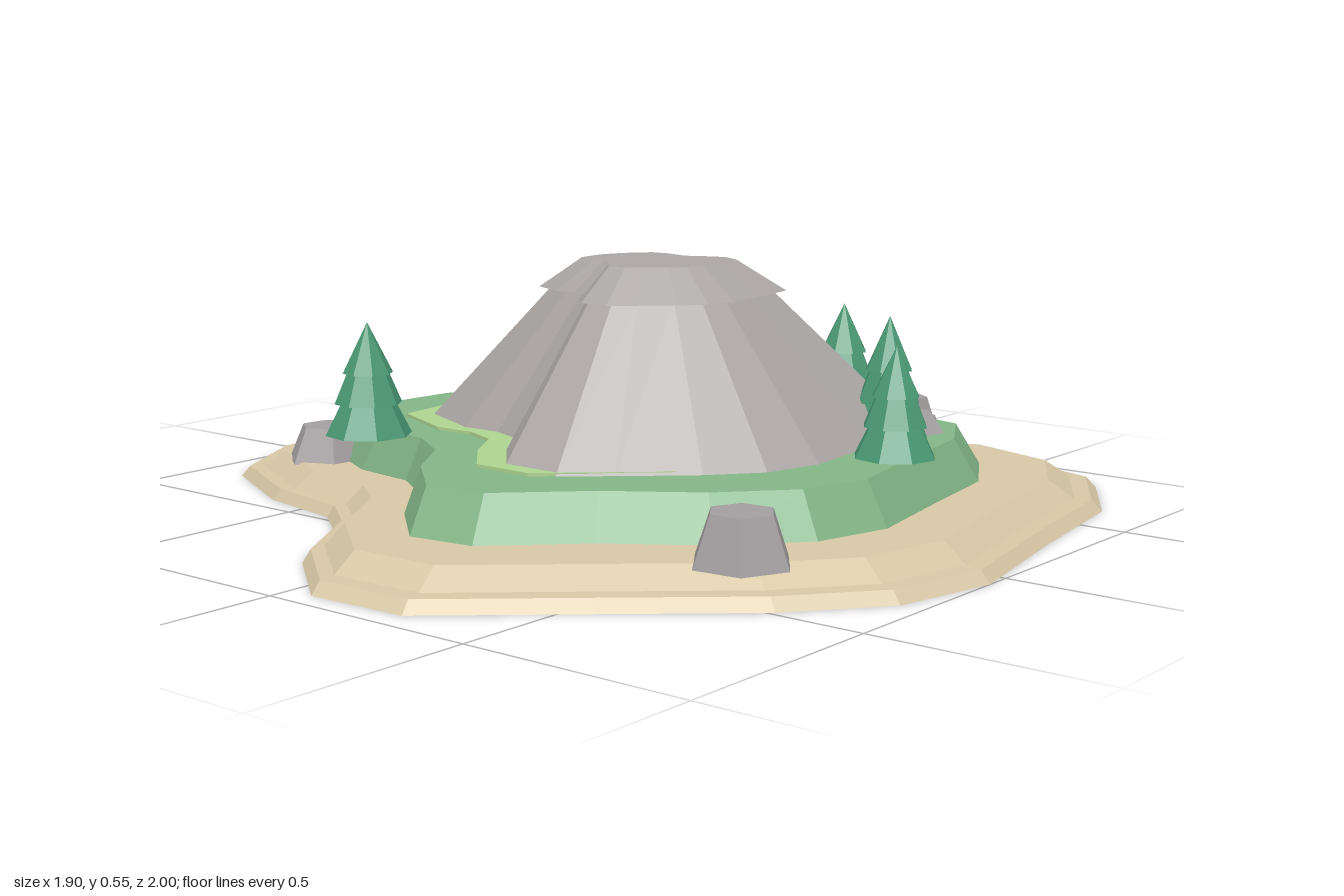
import * as THREE from 'three';

const mat = (name, color) => {
  const m = new THREE.MeshStandardMaterial({ color, flatShading: true });
  m.name = name;
  return m;
};

// Outlines as x, z pairs, running back -> right -> front -> left
const SHORE = [-0.08, -1, 0.19, -0.985, 0.43, -0.89, 0.66, -0.77, 0.81, -0.58, 0.835, -0.33, 0.745, -0.11, 0.75, 0.06,
  0.83, 0.27, 0.945, 0.5, 0.87, 0.74, 0.65, 0.87, 0.29, 0.93, -0.06, 1, -0.3, 0.95, -0.49, 0.8,
  -0.71, 0.55, -0.94, 0.29, -0.95, 0.06, -0.79, -0.14, -0.57, -0.28, -0.48, -0.4, -0.44, -0.62, -0.31, -0.875];
const MEADOW = [-0.05, -0.73, 0.17, -0.71, 0.4, -0.61, 0.53, -0.5, 0.61, -0.39, 0.62, -0.25, 0.575, -0.12, 0.58, 0.06,
  0.66, 0.25, 0.705, 0.36, 0.655, 0.56, 0.48, 0.66, 0.24, 0.7, -0.03, 0.75, -0.21, 0.705, -0.365, 0.57,
  -0.5, 0.38, -0.67, 0.21, -0.69, 0.06, -0.555, -0.09, -0.4, -0.195, -0.32, -0.32, -0.3, -0.48, -0.22, -0.635];
const PEAK = [0.05, -0.475, 0.16, -0.47, 0.32, -0.41, 0.495, -0.275, 0.505, -0.13, 0.46, 0.05, 0.55, 0.24, 0.57, 0.34,
  0.5, 0.48, 0.265, 0.515, 0.03, 0.54, -0.105, 0.505, -0.21, 0.42, -0.33, 0.29, -0.41, 0.2, -0.41, 0.06,
  -0.3, -0.04, -0.195, -0.105, -0.16, -0.195, -0.165, -0.29, -0.09, -0.46];

// Stacks copies of an outline, each [height, scale about the centre], and closes both ends
function terrace(name, outline, [cx, cz], rings, material) {
  const n = outline.length / 2, pos = [];
  const at = ([y, s], i) => {
    const k = (i % n) * 2;
    return [cx + (outline[k] - cx) * s, y, cz + (outline[k + 1] - cz) * s];
  };
  const first = rings[0], last = rings[rings.length - 1];
  for (let i = 0; i < n; i++) {
    for (let r = 0; r < rings.length - 1; r++) {
      const a = at(rings[r], i), b = at(rings[r], i + 1);
      const c = at(rings[r + 1], i), d = at(rings[r + 1], i + 1);
      pos.push(...a, ...c, ...b, ...b, ...c, ...d);
    }
    pos.push(cx, last[0], cz, ...at(last, i + 1), ...at(last, i));
    pos.push(cx, first[0], cz, ...at(first, i), ...at(first, i + 1));
  }
  const geo = new THREE.BufferGeometry();
  geo.setAttribute('position', new THREE.Float32BufferAttribute(pos, 3));
  geo.computeVertexNormals();
  const mesh = new THREE.Mesh(geo, material);
  mesh.name = name;
  return mesh;
}

// Three stacked eight-sided tiers, the last one pointed
function makeTree(x, z, radius, topY, material) {
  const tree = new THREE.Group();
  tree.name = 'pineTree';
  const base = 0.16, h = topY - base;
  const tiers = [[0, 0.42, 1, 0.45], [0.28, 0.72, 0.78, 0.3], [0.55, 1, 0.58, 0]];
  tiers.forEach(([y0, y1, r0, r1], i) => {
    const geo = new THREE.CylinderGeometry(r1 * radius, r0 * radius, (y1 - y0) * h, 8);
    const tier = new THREE.Mesh(geo, material);
    tier.name = 'foliageTier' + (i + 1);
    tier.position.y = base + ((y0 + y1) / 2) * h;
    tier.rotation.y = 0.2;
    tree.add(tier);
  });
  tree.position.set(x, 0, z);
  return tree;
}

// Six-sided boulder with a narrower top
function makeRock(x, z, radius, y0, y1, turn, material) {
  const rock = new THREE.Mesh(new THREE.CylinderGeometry(radius * 0.65, radius, y1 - y0, 6), material);
  rock.name = 'rock';
  rock.position.set(x, (y0 + y1) / 2, z);
  rock.rotation.y = turn;
  return rock;
}

export function createModel() {
  const sand = mat('sand', 0xd6c7a5);
  const grass = mat('grass', 0x82b586);
  const lightGrass = mat('lightGrass', 0xaed490);
  const stone = mat('mountainStone', 0xaca7a5);
  const rockGrey = mat('rockGrey', 0xa39e9f);
  const pine = mat('pineGreen', 0x4a9873);

  const island = new THREE.Group();
  island.name = 'island';

  // Ground layers
  island.add(terrace('beach', SHORE, [0.1, 0], [[0, 1], [0.025, 0.977], [0.027, 0.94], [0.066, 0.885]], sand));
  island.add(terrace('meadow', MEADOW, [0.06, 0], [[0.06, 1], [0.16, 0.925]], grass));
  const fringe = terrace('grassFringe', PEAK, [0.09, 0.05], [[0.158, 1], [0.167, 1]], lightGrass);
  fringe.position.set(-0.035, 0, -0.045);
  island.add(fringe);

  // Mountain with an overhanging cap
  island.add(terrace('mountain', PEAK, [0.09, 0.05], [[0.16, 1], [0.48, 0.44]], stone));
  island.add(terrace('summitCap', PEAK, [0.09, 0.05], [[0.475, 0.5], [0.545, 0.31]], stone));

  // Trees: x, z, radius, top height
  for (const [x, z, r, top] of [
    [-0.33, -0.42, 0.097, 0.41], [0.725, -0.18, 0.073, 0.345], [0.61, 0.21, 0.095, 0.41],
    [0.4, 0.47, 0.092, 0.425], [0.2, 0.615, 0.09, 0.395],
  ]) island.add(makeTree(x, z, r, top, pine));

  // Rocks: x, z, radius, bottom, top, turn
  for (const [x, z, r, y0, y1, turn] of [
    [-0.43, 0.68, 0.105, 0.06, 0.163, 0.1], [-0.24, -0.645, 0.1, 0.06, 0.14, 0.4],
    [0.485, -0.58, 0.105, 0.06, 0.172, 0.6], [0.62, -0.165, 0.075, 0.06, 0.13, 0.3],
    [0.47, 0.47, 0.1, 0.15, 0.2, 0.2], [0.74, 0.19, 0.088, 0.06, 0.14, 0.1],
    [0.86, 0.22, 0.09, 0.06, 0.157, 0.45], [0.765, 0.31, 0.078, 0.06, 0.135, 0.5],
  ]) island.add(makeRock(x, z, r, y0, y1, turn, rockGrey));

  return island;
}
